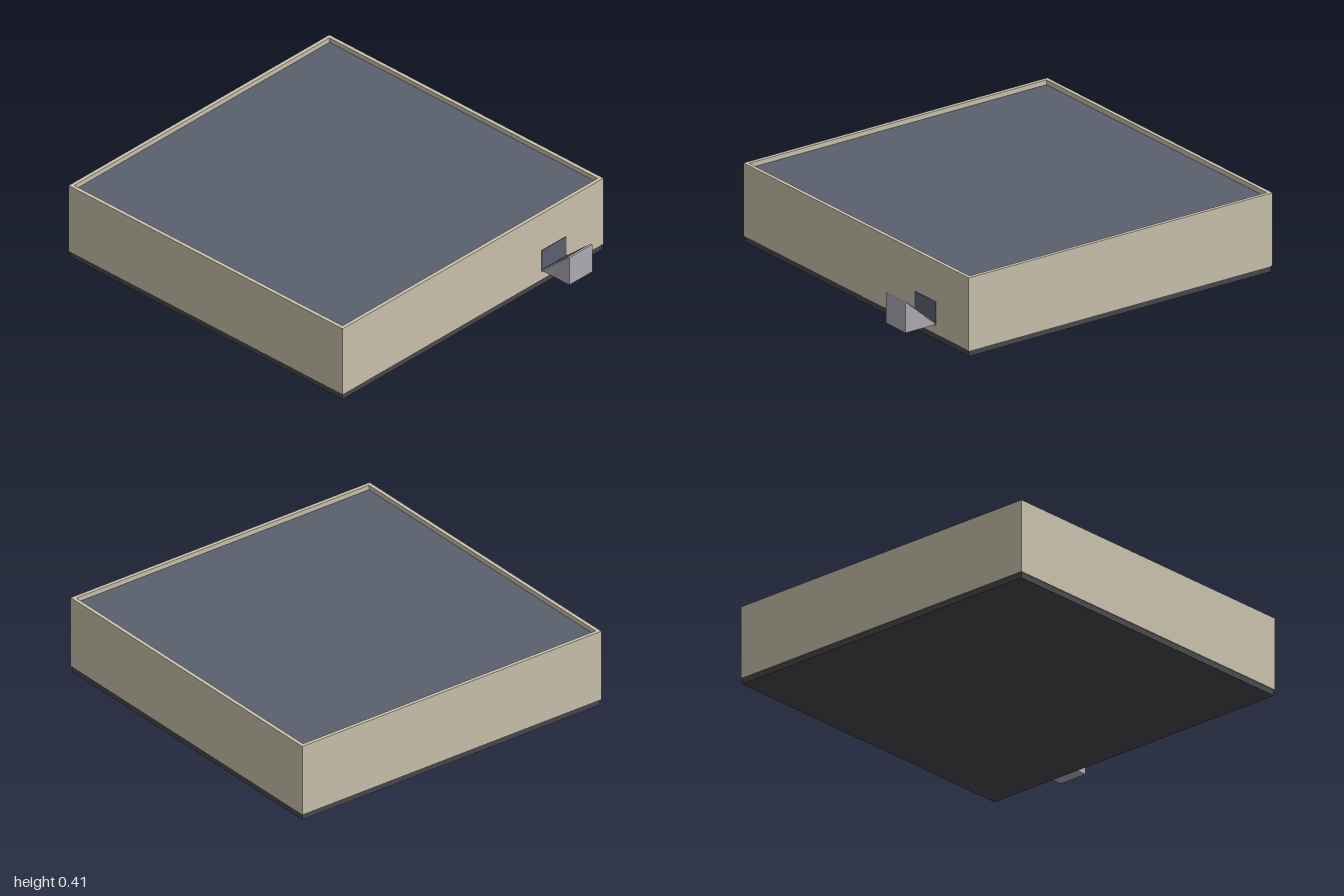
import * as THREE from 'three';

const material = (name, color) => {
  const m = new THREE.MeshStandardMaterial({ color });
  m.name = name;
  return m;
};

export function createModel() {
  const wallMat = material('sandWall', 0xc9bfab);
  const roofMat = material('slateRoof', 0x5a606e);
  const baseMat = material('darkBase', 0x46464c);
  const stepMat = material('greyStep', 0xadaab1);

  const model = new THREE.Group();
  model.name = 'building';
  const add = (name, geometry, mat, x = 0, y = 0, z = 0) => {
    const mesh = new THREE.Mesh(geometry, mat);
    mesh.name = name;
    mesh.position.set(x, y, z);
    model.add(mesh);
  };
  const rect = (Path, w, d) => new Path([
    [-w / 2, -d / 2], [w / 2, -d / 2], [w / 2, d / 2], [-w / 2, d / 2],
  ].map(([x, y]) => new THREE.Vector2(x, y)));

  const centreZ = -0.09;

  // Plinth, set back slightly from the walls
  add('plinth', new THREE.BoxGeometry(1.81, 0.03, 1.81), baseMat, 0, 0.015, centreZ);

  // Four walls as one ring rising above the roof as a parapet
  const ring = rect(THREE.Shape, 1.82, 1.82);
  ring.holes.push(rect(THREE.Path, 1.78, 1.78));
  const walls = new THREE.ExtrudeGeometry(ring, { depth: 0.38, bevelEnabled: false });
  walls.rotateX(-Math.PI / 2);
  add('walls', walls, wallMat, 0, 0.03, centreZ);

  // Flat roof sunk behind the parapet
  add('roof', new THREE.BoxGeometry(1.78, 0.02, 1.78), roofMat, 0, 0.375, centreZ);

  // Doorway panel on the front wall
  add('doorPanel', new THREE.BoxGeometry(0.17, 0.12, 0.006), roofMat, 0.563, 0.14, 0.82);

  // Steps rising away from the wall, as one stepped profile
  const count = 16, z0 = 0.82, z1 = 1, y0 = 0.08, y1 = 0.237;
  const profile = new THREE.Shape().moveTo(z0, y0);
  for (let i = 0; i < count; i++) {
    const y = y0 + (y1 - y0) * (i + 1) / count;
    profile.lineTo(z0 + (z1 - z0) * i / count, y);
    profile.lineTo(z0 + (z1 - z0) * (i + 1) / count, y);
  }
  profile.lineTo(z1, y0);
  const steps = new THREE.ExtrudeGeometry(profile, { depth: 0.16, bevelEnabled: false });
  steps.rotateY(-Math.PI / 2);
  add('steps', steps, stepMat, 0.643);

  return model;
}
